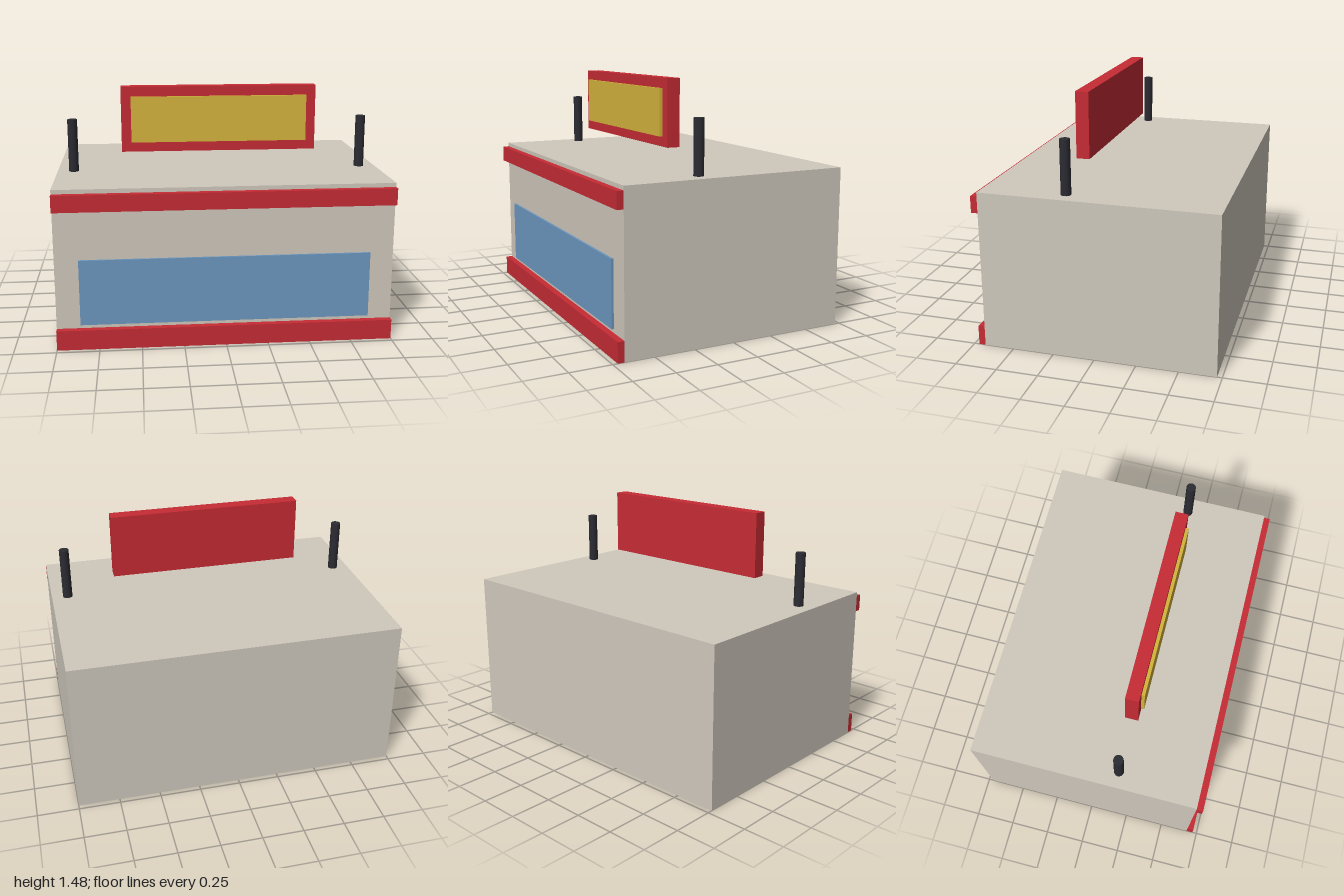
import * as THREE from 'three';

function material(name, color) {
  const m = new THREE.MeshStandardMaterial({ color });
  m.name = name;
  return m;
}

export function createModel() {
  const model = new THREE.Group();
  model.name = 'shopBuilding';

  const wall = material('warm grey', 0xcfc8bd);
  const red = material('red', 0xc62b34);
  const glass = material('blue glass', 0x6c98c0);
  const yellow = material('yellow', 0xd4b43c);
  const dark = material('charcoal', 0x2b2b33);

  // Box given by its extents: half width in x, then y and z ranges
  function block(name, mat, halfX, y0, y1, z0, z1) {
    const mesh = new THREE.Mesh(new THREE.BoxGeometry(halfX * 2, y1 - y0, z1 - z0), mat);
    mesh.position.set(0, (y0 + y1) / 2, (z0 + z1) / 2);
    mesh.name = name;
    model.add(mesh);
  }

  // Main building with its front window
  block('body', wall, 1, 0, 0.96, -0.72, 0.68);
  block('frontWindow', glass, 0.86, 0.143, 0.54, 0.68, 0.693);

  // Red bands along the front
  block('lowerBand', red, 1, 0, 0.12, 0.68, 0.72);
  block('upperBand', red, 1, 0.835, 0.935, 0.68, 0.72);

  // Sign board above the roof with its raised face
  block('signBoard', red, 0.6, 1.083, 1.483, 0.14, 0.22);
  block('signFace', yellow, 0.54, 1.143, 1.423, 0.22, 0.24);

  // Roof posts on either side of the sign
  for (const [name, side] of [['leftPost', 1], ['rightPost', -1]]) {
    const post = new THREE.Mesh(new THREE.CylinderGeometry(0.03, 0.03, 0.323, 16), dark);
    post.position.set(side * 0.9, 0.96 + 0.323 / 2, 0.18);
    post.name = name;
    model.add(post);
  }

  return model;
}
